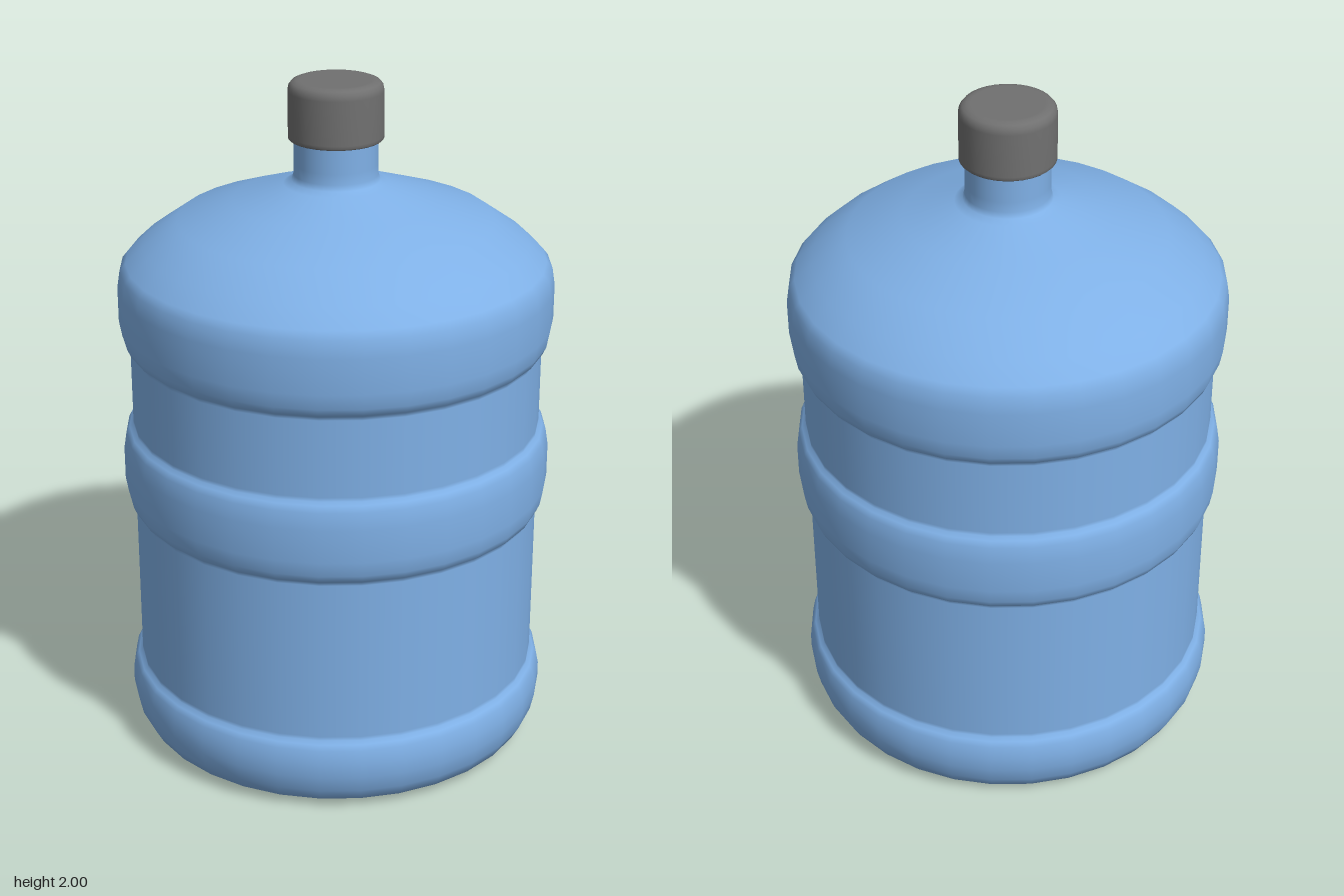
import * as THREE from 'three';

const SEGMENTS = 32;

// Revolve a profile of [radius, height] pairs, listed from the underside outwards and up
function revolve(name, profile, color) {
  const points = profile.map(([r, y]) => new THREE.Vector2(r, y));
  const mesh = new THREE.Mesh(
    new THREE.LatheGeometry(points, SEGMENTS),
    new THREE.MeshStandardMaterial({ color })
  );
  mesh.name = name;
  return mesh;
}

// Raised hoop around the body, from its lower edge to its upper edge
const hoop = (low, high) => [
  [0.6, low], [0.612, low + 0.008], [0.622, low + 0.03], [0.63, low + 0.075],
  [0.63, high - 0.075], [0.622, high - 0.025], [0.612, high - 0.007], [0.6, high],
];

export function createModel() {
  const group = new THREE.Group();
  group.name = 'waterBottle';

  const bottle = revolve('bottle', [
    // dished underside
    [0, 0.17], [0.17, 0.17], [0.19, 0.165], [0.24, 0.115], [0.3, 0.06], [0.36, 0.022], [0.42, 0.004],
    // foot and bottom hoop
    [0.49, 0], [0.55, 0.014], [0.597, 0.03], [0.619, 0.07], [0.63, 0.12],
    [0.63, 0.165], [0.622, 0.205], [0.612, 0.22], [0.6, 0.228],
    // straight wall and middle hoop
    [0.6, 0.24], [0.6, 0.727], ...hoop(0.737, 0.985),
    // straight wall and upper hoop
    [0.6, 0.997], [0.6, 1.225], ...hoop(1.235, 1.487).slice(0, 6),
    // domed shoulder
    [0.605, 1.483], [0.555, 1.53], [0.455, 1.6], [0.296, 1.655], [0.15, 1.703],
    // neck
    [0.127, 1.713], [0.121, 1.73], [0.12, 1.76], [0.12, 1.9],
  ], 0x7fb0e6);

  const cap = revolve('cap', [
    [0, 1.832], [0.132, 1.832], [0.136, 1.836], [0.136, 1.845],
    [0.136, 1.97], [0.133, 1.985], [0.125, 1.995], [0.112, 2], [0.1, 2], [0, 2],
  ], 0x707070);

  group.add(bottle, cap);
  return group;
}
